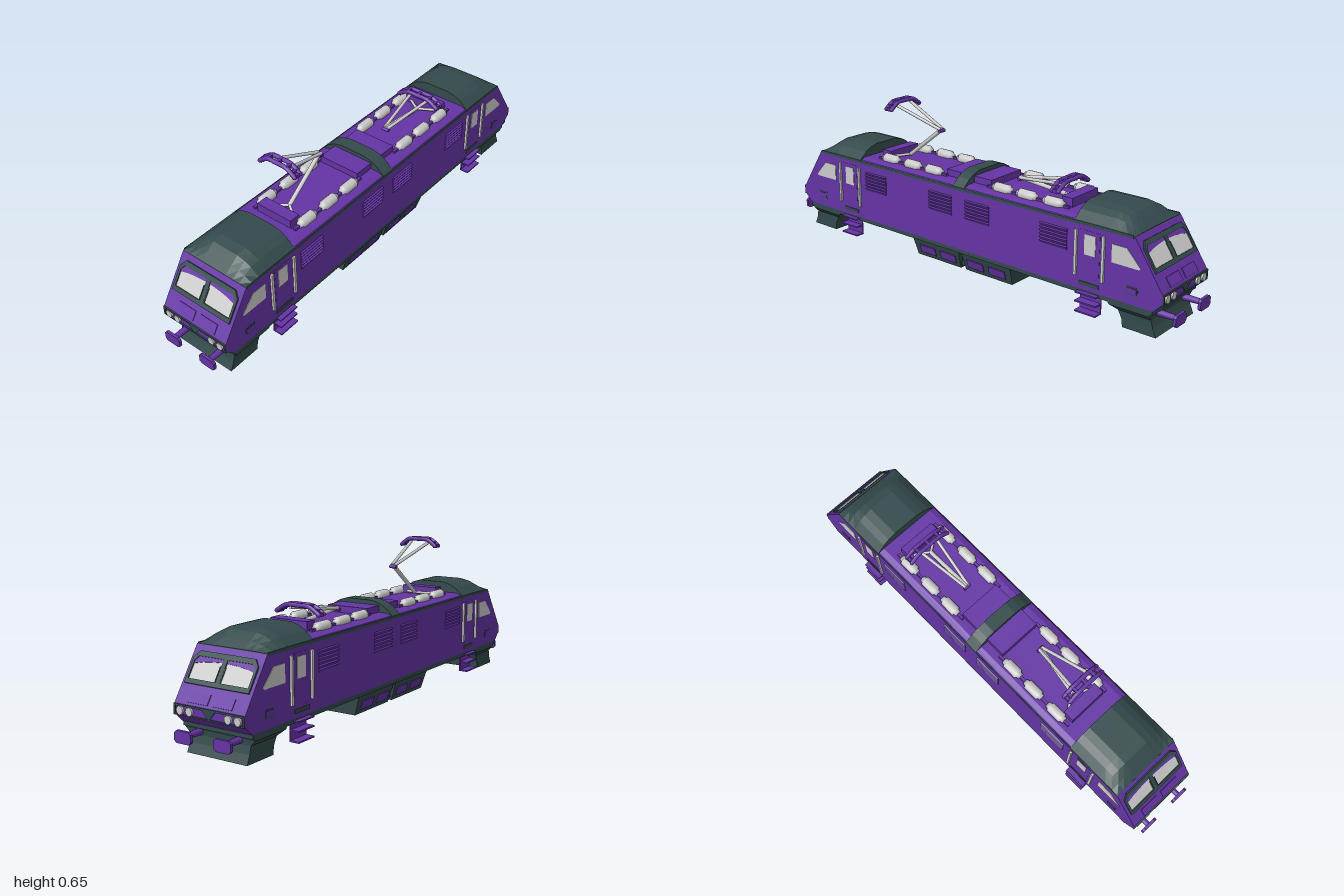
import * as THREE from 'three';

const mat = (name, color) => Object.assign(new THREE.MeshStandardMaterial({ color }), { name });
const purple = mat('purple paint', 0x6434a4);
const dark = mat('dark slate', 0x344a4b);
const grey = mat('light grey', 0xcbcbcb);

function add(parent, name, geo, material, x = 0, y = 0, z = 0) {
  const m = new THREE.Mesh(geo, material);
  m.name = name;
  m.position.set(x, y, z);
  parent.add(m);
  return m;
}
const box = (w, h, d) => new THREE.BoxGeometry(w, h, d);
const group = (parent, name) => {
  const g = new THREE.Group();
  g.name = name;
  parent.add(g);
  return g;
};
const extrude = (pts, depth, holes = []) => {
  const s = new THREE.Shape(pts.map(p => new THREE.Vector2(...p)));
  holes.forEach(h => s.holes.push(new THREE.Path(h.map(p => new THREE.Vector2(...p)))));
  return new THREE.ExtrudeGeometry(s, { depth, bevelEnabled: false });
};
// Outline in (z, y), extruded along +x from x = 0
const sideExtrude = (pts, depth) => extrude(pts.map(([z, y]) => [-z, y]), depth).rotateY(Math.PI / 2);

// Flat-shaded skin over equal-length closed rings, with capped ends
function loft(rings) {
  const pos = [], n = rings[0].length;
  const tri = (...p) => p.forEach(v => pos.push(...v));
  for (let r = 0; r < rings.length - 1; r++) {
    for (let i = 0; i < n; i++) {
      const j = (i + 1) % n, a = rings[r], b = rings[r + 1];
      tri(a[i], a[j], b[j], a[i], b[j], b[i]);
    }
  }
  const first = rings[0], last = rings[rings.length - 1];
  for (let i = 1; i < n - 1; i++) {
    tri(first[0], first[i + 1], first[i]);
    tri(last[0], last[i], last[i + 1]);
  }
  const g = new THREE.BufferGeometry();
  g.setAttribute('position', new THREE.Float32BufferAttribute(pos, 3));
  g.computeVertexNormals();
  return g;
}

// Round rod between two points
function rod(parent, name, a, b, r, material) {
  const A = new THREE.Vector3(...a), B = new THREE.Vector3(...b);
  const m = add(parent, name, new THREE.CylinderGeometry(r, r, A.distanceTo(B), 10), material);
  m.position.copy(A).lerp(B, 0.5);
  m.quaternion.setFromUnitVectors(new THREE.Vector3(0, 1, 0), B.sub(A).normalize());
}

// Arched roof section, counter-clockwise seen from +z
const half = [[0.16, 0.006], [0.125, 0.037], [0.095, 0.053], [0.06, 0.062]];
const arch = (z, s, w = 1) => [[0.16, 0], ...half, ...half.map(([x, y]) => [-x, y]).reverse(), [-0.16, 0]]
  .map(([x, y]) => [x * w, 0.375 + y * s, z]);

// Cab end, built facing +z
function buildCab(parent) {
  const cab = group(parent, 'cabEnd');
  add(cab, 'cabRoof', loft([arch(0.575, 1), arch(0.73, 1), arch(0.77, 0.85), arch(0.805, 0.45), arch(0.836, 0.05)]), dark);

  // Curved skirt under the nose
  const ring = (y, x, z0, z1) => [[x, y, z0], [-x, y, z0], [-x, y, z1], [x, y, z1]];
  add(cab, 'skirt', loft([
    ring(0, 0.137, 0.785, 0.928), ring(0.035, 0.137, 0.78, 0.913), ring(0.065, 0.138, 0.765, 0.906),
    ring(0.085, 0.157, 0.735, 0.908), ring(0.116, 0.159, 0.715, 0.924)]), dark);

  // Sloping windscreen face; Y() maps height to distance up the slope
  const lean = Math.atan2(0.125, 0.19);
  const Y = y => (y - 0.185) / Math.cos(lean);
  const face = group(cab, 'frontFace');
  face.position.set(0, 0.185, 0.96);
  face.rotation.x = -lean;
  const map = pts => pts.map(([x, y]) => [x, Y(y)]);
  const pane = s => map([[0.009, 0.265], [0.136, 0.265], [0.136, 0.322], [0.122, 0.337], [0.009, 0.337]].map(([x, y]) => [x * s, y]));
  add(face, 'windscreenFrame', extrude(map([[-0.146, 0.25], [0.146, 0.25], [0.146, 0.332], [0.124, 0.354],
    [-0.124, 0.354], [-0.146, 0.332]]), 0.007, [pane(1), pane(-1)]), dark);
  for (const s of [1, -1]) {
    add(face, 'windscreen', extrude(pane(s), 0.002), grey);
    add(face, 'windscreenTopBand', extrude(map([[0.009, 0.327], [0.06, 0.324], [0.1, 0.32], [0.136, 0.313],
      [0.136, 0.322], [0.122, 0.337], [0.009, 0.337]].map(([x, y]) => [x * s, y])), 0.004), purple);
    add(face, 'nosePanel', box(0.088, 0.04, 0.004), purple, s * 0.055, Y(0.211), 0.001);
    add(face, 'wiper', box(0.004, 0.06, 0.003), dark, s * 0.012, Y(0.29), 0.006);
  }

  // Light band across the nose
  add(cab, 'lightBandFrame', extrude([[-0.16, 0.145], [0.16, 0.145], [0.16, 0.186], [-0.16, 0.186]], 0.006,
    [[[-0.153, 0.15], [0.153, 0.15], [0.153, 0.179], [-0.153, 0.179]]]), dark, 0, 0, 0.959);
  add(cab, 'lightBandCentre', extrude([[-0.03, 0.18], [-0.005, 0.15], [0.005, 0.15], [0.03, 0.18]], 0.005), dark, 0, 0, 0.959);
  for (const s of [1, -1]) {
    for (const x of [0.088, 0.131]) {
      add(cab, 'headlight', new THREE.CylinderGeometry(0.015, 0.016, 0.008, 12).rotateX(Math.PI / 2), grey, s * x, 0.164, 0.963);
    }
    // Buffers
    add(cab, 'bufferShaft', new THREE.CylinderGeometry(0.011, 0.014, 0.09, 12).rotateX(Math.PI / 2), purple, s * 0.09, 0.08, 0.945);
    add(cab, 'bufferPlate', extrude([[-0.038, -0.014], [-0.028, -0.023], [0.028, -0.023], [0.038, -0.014],
      [0.038, 0.014], [0.028, 0.023], [-0.028, 0.023], [-0.038, 0.014]], 0.012), purple, s * 0.09, 0.08, 0.988);
  }
}

// Details of one flank, built on +x
function buildSide(parent) {
  const side = group(parent, 'sideDetails');
  const plate = (name, pts, m, t = 0.003) => add(side, name, sideExtrude(pts, t), m, 0.159);
  const rect = (z0, z1, y0, y1) => [[z0, y0], [z0, y1], [z1, y1], [z1, y0]];
  plate('gutter', rect(-0.83, 0.83, 0.368, 0.38), dark, 0.002);
  for (const s of [1, -1]) {
    plate('cabSideWindow', [[0.742, 0.255], [0.742, 0.326], [0.805, 0.326], [0.865, 0.262], [0.86, 0.255]].map(([z, y]) => [s * z, y]), grey);
    plate('door', rect(s * 0.603, s * 0.69, 0.155, 0.35), purple, 0.002);
    plate('doorWindow', rect(s * 0.622, s * 0.672, 0.255, 0.335), grey, 0.004);
    plate('doorSill', rect(s * 0.6, s * 0.69, 0.13, 0.145), dark, 0.004);
    plate('nosePocketFrame', rect(s * 0.808, s * 0.858, 0.15, 0.182), dark, 0.002);
    plate('nosePocket', rect(s * 0.813, s * 0.853, 0.155, 0.177), purple, 0.004);
    for (const z of [0.585, 0.707]) add(side, 'handrail', box(0.01, 0.182, 0.011), grey, 0.164, 0.255, s * z);
    // Louvred vents: overhanging slats
    for (const zc of [0.1, 0.48]) {
      for (let i = 0; i < 6; i++) {
        const y = 0.25 + i * 0.0142;
        add(side, 'ventSlat', extrude([[0, 0], [0.007, 0.011], [0, 0.0142]], 0.126), purple, 0.16, y, s * zc - 0.063);
      }
    }
    // Boarding steps
    add(side, 'stepBack', box(0.005, 0.08, 0.095), purple, 0.141, 0.065, s * 0.645);
    for (const y of [0.026, 0.066, 0.102]) add(side, 'stepTread', box(0.042, 0.006, 0.095), purple, 0.159, y, s * 0.645);
    // Slanted lockers on the tank
    for (const z of [0.075, 0.19]) {
      const m = add(side, 'tankPanel', box(0.005, 0.038, 0.085), purple, 0.1425, 0.052, s * z);
      m.rotation.z = -Math.atan2(0.025, 0.08);
    }
  }
}

// Current collector at the +z half
function buildCollector(parent, elbow, head, width) {
  const p = group(parent, 'currentCollector');
  const foot = [0, 0.405, 0.42];
  add(p, 'collectorBase', box(0.17, 0.04, 0.05), purple, 0, 0.407, 0.485);
  rod(p, 'lowerArm', foot, elbow, 0.009, grey);
  rod(p, 'elbowPin', [-0.016, elbow[1] - 0.006, elbow[2]], [0.016, elbow[1] - 0.006, elbow[2]], 0.008, purple);
  for (const s of [1, -1]) {
    rod(p, 'upperArm', [s * 0.007, elbow[1], elbow[2]], [s * 0.045, head[1] - 0.008, head[2]], 0.007, grey);
    rod(p, 'baseStrut', [s * 0.07, 0.4, 0.47], foot, 0.006, grey);
  }
  // Contact head: two bowed bars tied together
  const h = group(p, 'contactHead');
  h.position.set(...head);
  const pts = [[-1, -0.022], [-0.85, -0.012], [-0.55, 0.004], [0, 0.006], [0.55, 0.004], [0.85, -0.012], [1, -0.022]];
  for (const dz of [-0.015, 0.015]) {
    const curve = new THREE.CatmullRomCurve3(pts.map(([x, y]) => new THREE.Vector3(x * (width - 0.006), y, dz)));
    add(h, 'contactBar', new THREE.TubeGeometry(curve, 20, 0.009, 8), purple);
    for (const s of [1, -1]) add(h, 'barEnd', new THREE.SphereGeometry(0.009, 8, 6), purple, s * (width - 0.006), -0.022, dz);
  }
  for (const [x, y] of pts) add(h, 'crossTie', box(0.012, 0.015, 0.036), purple, x * (width - 0.008), y, 0);
  return p;
}

export function createModel() {
  const model = new THREE.Group();
  model.name = 'electricLocomotive';

  // Body shell, floor and roof
  const nose = [[0.925, 0.112], [0.96, 0.148], [0.96, 0.185], [0.835, 0.375]];
  const outline = [...nose, ...nose.map(([z, y]) => [-z, y]).reverse()];
  add(model, 'bodyShell', sideExtrude(outline, 0.32), purple, -0.16);
  add(model, 'floor', box(0.318, 0.019, 1.84), dark, 0, 0.104, 0);
  const roof = z => [[0.16, 0.374, z], [0.155, 0.382, z], [0.13, 0.391, z], [-0.13, 0.391, z], [-0.155, 0.382, z], [-0.16, 0.374, z]];
  add(model, 'middleRoof', loft([roof(-0.58), roof(0.58)]), purple);
  add(model, 'roofBand', loft([arch(-0.03, 1), arch(0.03, 1)]), dark);

  // Equipment tank under the floor, in two tapered blocks
  const tank = (y, x, z0, z1) => [[x, y, z0], [-x, y, z0], [-x, y, z1], [x, y, z1]];
  for (const s of [1, -1]) {
    const c = s * 0.137;
    add(model, 'underfloorTank', loft([tank(0.015, 0.13, c - 0.122, c + 0.122), tank(0.097, 0.155, c - 0.13, c + 0.13)]), dark);
  }
  add(model, 'tankJoint', box(0.25, 0.07, 0.05), dark, 0, 0.062, 0);

  for (const turn of [0, Math.PI]) {
    const end = group(model, turn ? 'rearHalf' : 'frontHalf');
    end.rotation.y = turn;
    buildCab(end);
    buildSide(end);
    // Roof equipment
    add(end, 'roofCabinet', box(0.19, 0.032, 0.09), purple, 0, 0.403, 0.075);
    const barrel = [[0, -0.047], [0.013, -0.047], [0.015, -0.036], [0.022, -0.032], [0.022, 0.032], [0.015, 0.036], [0.013, 0.047], [0, 0.047]];
    for (const x of [-0.103, 0.103]) {
      for (const z of [0.186, 0.308, 0.437]) {
        add(end, 'insulator', new THREE.LatheGeometry(barrel.map(p => new THREE.Vector2(...p)), 12).rotateX(Math.PI / 2), grey, x, 0.4, z);
      }
      add(end, 'insulatorRail', box(0.012, 0.012, 0.4), purple, x, 0.394, 0.31);
    }
    // Front collector raised, rear one folded
    if (turn) buildCollector(end, [0, 0.425, 0.195], [0, 0.466, 0.438], 0.105);
    else buildCollector(end, [0, 0.548, 0.235], [0, 0.637, 0.462], 0.092);
  }
  return model;
}
